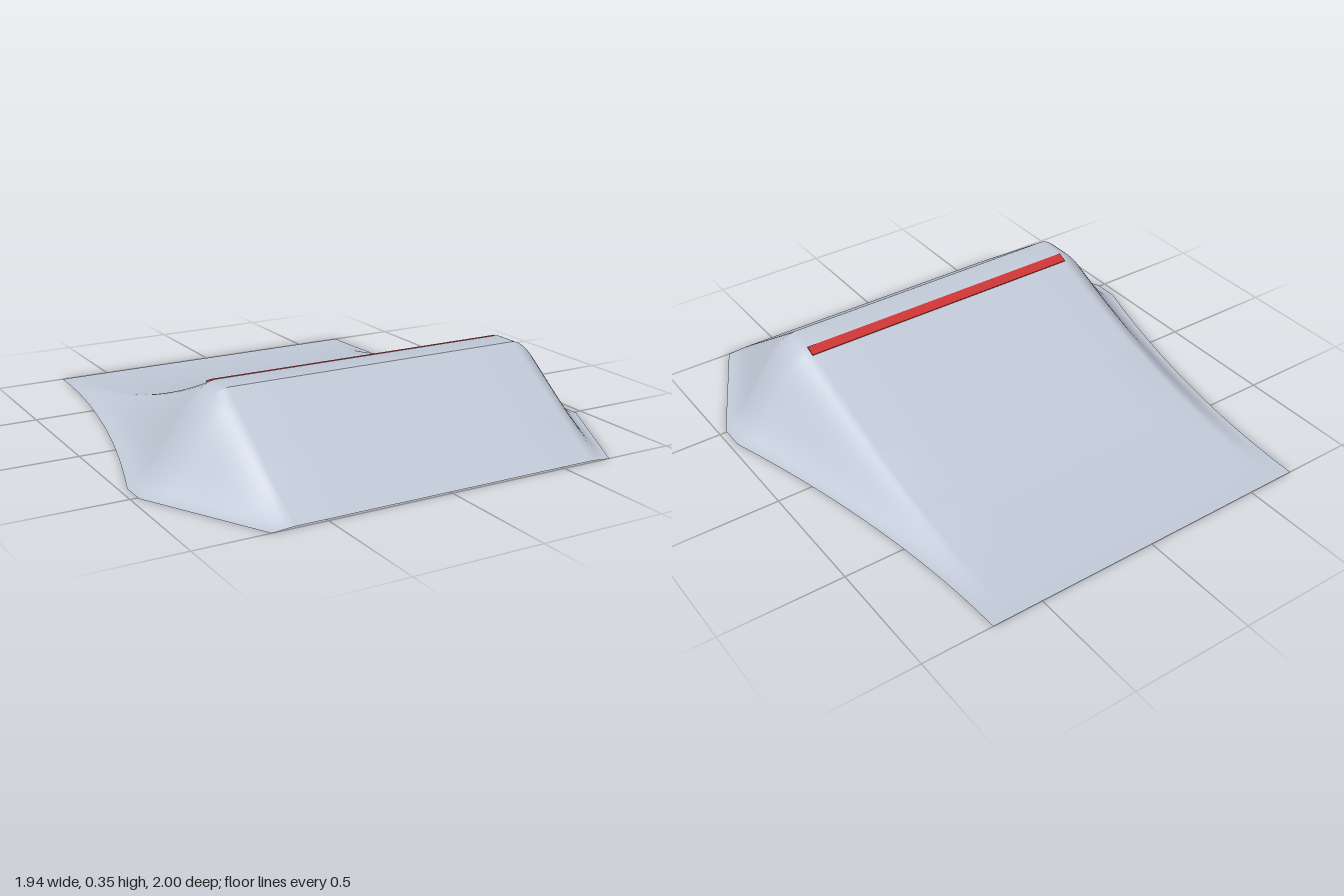
import * as THREE from 'three';
import { toCreasedNormals } from 'three/addons/utils/BufferGeometryUtils.js';

const HEIGHT = 0.35, BACK = -1, LIP = 0.4, CREST = 0.51, FRONT = 1;
const INNER = 0.62, FOOT = 0.71, FLARE = 0.26;

// Height of the centre line: curved run-up, flat crest, straight front slope
function heightAt(z) {
  if (z < LIP) return HEIGHT * Math.pow((z - BACK) / (LIP - BACK), 1.75);
  if (z <= CREST) return HEIGHT;
  return HEIGHT + (0.006 - HEIGHT) * (z - CREST) / (FRONT - CREST);
}

// Cross-section at z: flat deck with S-curved skirts flaring with height
function crossSection(z) {
  const h = heightAt(z), outer = FOOT + FLARE * h / HEIGHT, n = 20, half = [];
  for (let i = 0; i <= n; i++) {
    const t = i / n;
    half.push([INNER + (outer - INNER) * t, h * (1 - t * t * (3 - 2 * t))]);
  }
  const left = half.map(([x, y]) => [-x, y]).reverse();
  return [...left, [-0.42, h], [0, h], [0.42, h], ...half].map(([x, y]) => [x, y, z]);
}

function rampGeometry() {
  const stations = [];
  for (let i = 0; i <= 40; i++) stations.push(BACK + (LIP - BACK) * i / 40);
  stations.push(CREST);
  for (let i = 1; i <= 8; i++) stations.push(CREST + (FRONT - CREST) * i / 8);
  const rows = stations.map(crossSection), cols = rows[0].length, index = [];
  for (let r = 0; r < rows.length - 1; r++) {
    for (let c = 0; c < cols - 1; c++) {
      const a = r * cols + c, b = a + cols;
      index.push(a, b, a + 1, a + 1, b, b + 1);
    }
  }
  const geometry = new THREE.BufferGeometry();
  geometry.setAttribute('position', new THREE.Float32BufferAttribute(rows.flat(2), 3));
  geometry.setIndex(index);
  return toCreasedNormals(geometry, 0.55);
}

export function createModel() {
  const steel = new THREE.MeshStandardMaterial({ color: 0xc0c8d6, side: THREE.DoubleSide });
  steel.name = 'pale steel';
  const red = new THREE.MeshStandardMaterial({ color: 0xcc3333 });
  red.name = 'red';

  const group = new THREE.Group();
  group.name = 'ramp';

  // Open sheet forming the deck, crest, front slope and skirts
  const shell = new THREE.Mesh(rampGeometry(), steel);
  shell.name = 'rampShell';
  group.add(shell);

  // Warning stripe lying on the run-up just below the crest
  const z = 0.366, slope = (heightAt(z + 0.02) - heightAt(z - 0.02)) / 0.04;
  const stripe = new THREE.Mesh(new THREE.BoxGeometry(1.26, 0.006, 0.043), red);
  stripe.name = 'warningStripe';
  stripe.position.set(0, heightAt(z) + 0.002, z);
  stripe.rotation.x = -Math.atan(slope);
  group.add(stripe);

  return group;
}
